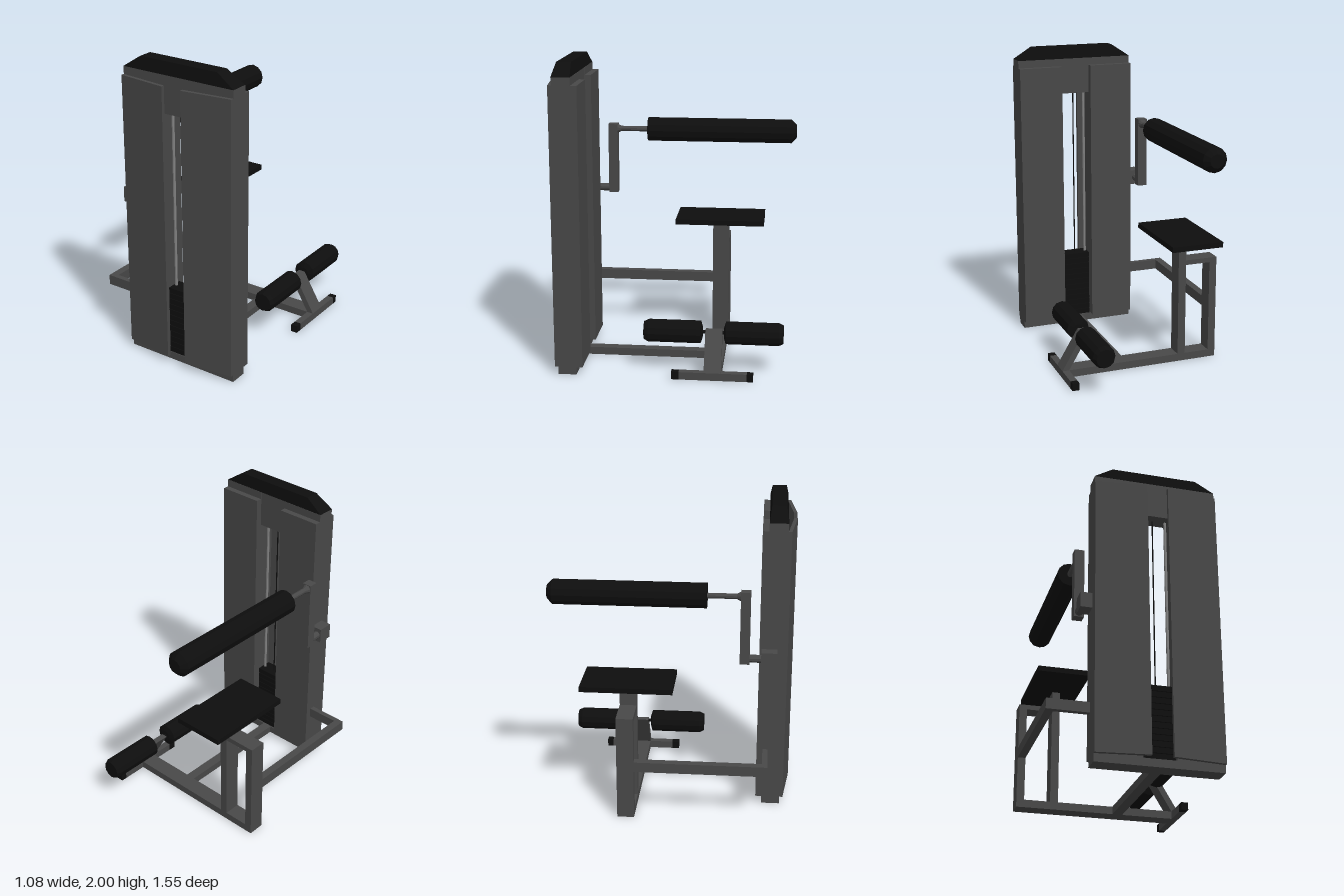
import * as THREE from 'three';

export function createModel() {
  const group = new THREE.Group();
  const material = (name, color) => {
    const m = new THREE.MeshStandardMaterial({ color, flatShading: true });
    m.name = name;
    return m;
  };
  const grey = material('frame grey', 0x484848);
  const black = material('pad black', 0x0e0e0e);
  const steel = material('rod steel', 0x808080);

  const add = (name, geometry, mat) => {
    const mesh = new THREE.Mesh(geometry, mat);
    mesh.name = name;
    group.add(mesh);
    return mesh;
  };
  // Box from its extents on each axis
  const box = (name, mat, x0, x1, y0, y1, z0, z1) => {
    const g = new THREE.BoxGeometry(x1 - x0, y1 - y0, z1 - z0);
    g.translate((x0 + x1) / 2, (y0 + y1) / 2, (z0 + z1) / 2);
    return add(name, g, mat);
  };
  // Box whose top and bottom rectangles differ; each is [x0, x1, z0, z1]
  const taperedBox = (name, mat, y0, y1, low, high) => {
    const g = new THREE.BoxGeometry(1, 1, 1);
    const p = g.attributes.position;
    for (let i = 0; i < p.count; i++) {
      const up = p.getY(i) > 0, r = up ? high : low;
      p.setXYZ(i, r[p.getX(i) > 0 ? 1 : 0], up ? y1 : y0, r[p.getZ(i) > 0 ? 3 : 2]);
    }
    g.computeVertexNormals();
    return add(name, g, mat);
  };
  // Turned part along z; profile is a list of [radius, z]
  const turned = (name, mat, x, y, profile, sides = 12) => {
    const g = new THREE.LatheGeometry(profile.map(([r, z]) => new THREE.Vector2(r, z)), sides);
    g.rotateX(Math.PI / 2);
    g.translate(x, y, 0);
    return add(name, g, mat);
  };
  // Flat outline in x and one other axis, extruded
  const extrude = (points, depth) => new THREE.ExtrudeGeometry(
    new THREE.Shape(points.map(([a, b]) => new THREE.Vector2(a, b))),
    { depth, bevelEnabled: false });

  // Tower: mirrored uprights, back covers and slanted front covers
  const mid = 0.122;
  for (const s of [-1, 1]) {
    const side = s < 0 ? 'right' : 'left';
    const span = (a, b) => [mid + s * a, mid + s * b].sort((m, n) => m - n);
    box(side + 'Upright', grey, ...span(0.102, 0.398), 0.05, 1.92, 0.597, 0.715);
    box(side + 'BackCover', grey, ...span(0.102, 0.398), 0.05, 1.87, 0.557, 0.597);
    const plate = [[0.398, 0.715], [0.398, 0.737], [0.067, 0.775], [0.067, 0.752]]
      .map(([a, z]) => [mid + s * a, -z]);
    const cover = extrude(plate, 1.82);
    cover.rotateX(-Math.PI / 2);
    cover.translate(0, 0.05, 0);
    add(side + 'FrontCover', cover, grey);
    const rod = new THREE.CylinderGeometry(0.009, 0.009, 1.65, 10);
    rod.translate(mid + s * 0.08, 0.875, 0.655);
    add(side + 'GuideRod', rod, steel);
  }
  box('header', grey, 0.02, 0.224, 1.68, 1.92, 0.6, 0.715);
  box('towerBase', grey, -0.276, 0.52, 0, 0.05, 0.597, 0.715);
  taperedBox('towerCap', black, 1.92, 2, [-0.276, 0.52, 0.598, 0.716], [-0.155, 0.4, 0.61, 0.702]);

  // Weight stack and cable
  for (let i = 0; i < 12; i++) {
    const y = 0.05 + i * 0.039;
    box('weightPlate' + (i + 1), black, 0.026, 0.218, y, y + 0.035, 0.605, 0.71);
  }
  const cable = new THREE.CylinderGeometry(0.004, 0.004, 1.2, 6);
  cable.translate(0.118, 1.1, 0.655);
  add('cable', cable, black);

  // Floor frame
  box('rearCrossbar', grey, -0.54, 0.49, 0, 0.05, -0.335, -0.225);
  box('centreBeam', grey, 0.09, 0.155, 0, 0.05, -0.225, 0.6);
  box('sideFoot', grey, 0.49, 0.535, 0, 0.05, -0.5, -0.065);
  box('footCapBack', black, 0.49, 0.535, 0, 0.05, -0.54, -0.5);
  box('footCapFront', black, 0.49, 0.535, 0, 0.05, -0.065, -0.017);

  // Seat support frame
  box('seatPost', grey, -0.322, -0.27, 0.05, 0.815, -0.335, -0.225);
  box('outerPost', grey, -0.54, -0.49, 0.05, 0.7, -0.335, -0.225);
  box('postBridge', grey, -0.49, -0.322, 0.668, 0.7, -0.335, -0.225);
  box('sideBeam', grey, -0.54, -0.49, 0.33, 0.397, -0.225, 0.63);
  box('towerBrace', grey, -0.49, -0.27, 0.33, 0.397, 0.595, 0.63);

  // Seat
  box('seatPad', black, -0.47, -0.125, 0.845, 0.88, -0.575, 0.02);
  taperedBox('seatUnderside', black, 0.81, 0.845, [-0.322, -0.27, -0.335, -0.225], [-0.47, -0.125, -0.575, 0.02]);

  // Leg rollers on a leaning post
  const lean = extrude([[0.49, 0.05], [0.535, 0.05], [0.395, 0.285], [0.35, 0.285]], 0.11);
  lean.translate(0, 0, -0.335);
  add('rollerPost', lean, grey);
  turned('rollerAxle', black, 0.38, 0.27, [[0, -0.4], [0.012, -0.4], [0.012, -0.15], [0, -0.15]], 8).material = black;
  for (const [name, a, b, chamferLow] of [['backRoller', -0.727, -0.345, true], ['frontRoller', -0.207, 0.172, false]]) {
    const inner = [0.02, 0.012], outer = [0.045, 0.03];
    const lo = chamferLow ? outer : inner, hi = chamferLow ? inner : outer;
    turned(name, black, 0.38, 0.27,
      [[0, a], [lo[0] + 0.015, a], [0.074, a + lo[1]], [0.074, b - hi[1]], [hi[0] + 0.015, b], [0, b]]);
  }

  // Swing arm with its long pad
  const ax = -0.318, ay = 1.462;
  turned('armPad', black, ax, ay,
    [[0, -0.78], [0.045, -0.78], [0.081, -0.745], [0.081, 0.225], [0, 0.225]]);
  turned('padRod', grey, ax, ay, [[0, 0.2], [0.018, 0.2], [0.018, 0.41], [0.032, 0.436], [0, 0.436]], 10);
  box('swingArm', grey, -0.35, -0.286, 1.02, 1.495, 0.435, 0.497);
  turned('pivotShaft', grey, ax, 1.05, [[0, 0.49], [0.026, 0.49], [0.026, 0.58], [0, 0.58]], 10);
  box('pivotHousing', grey, -0.35, -0.276, 1, 1.1, 0.57, 0.67);

  return group;
}
